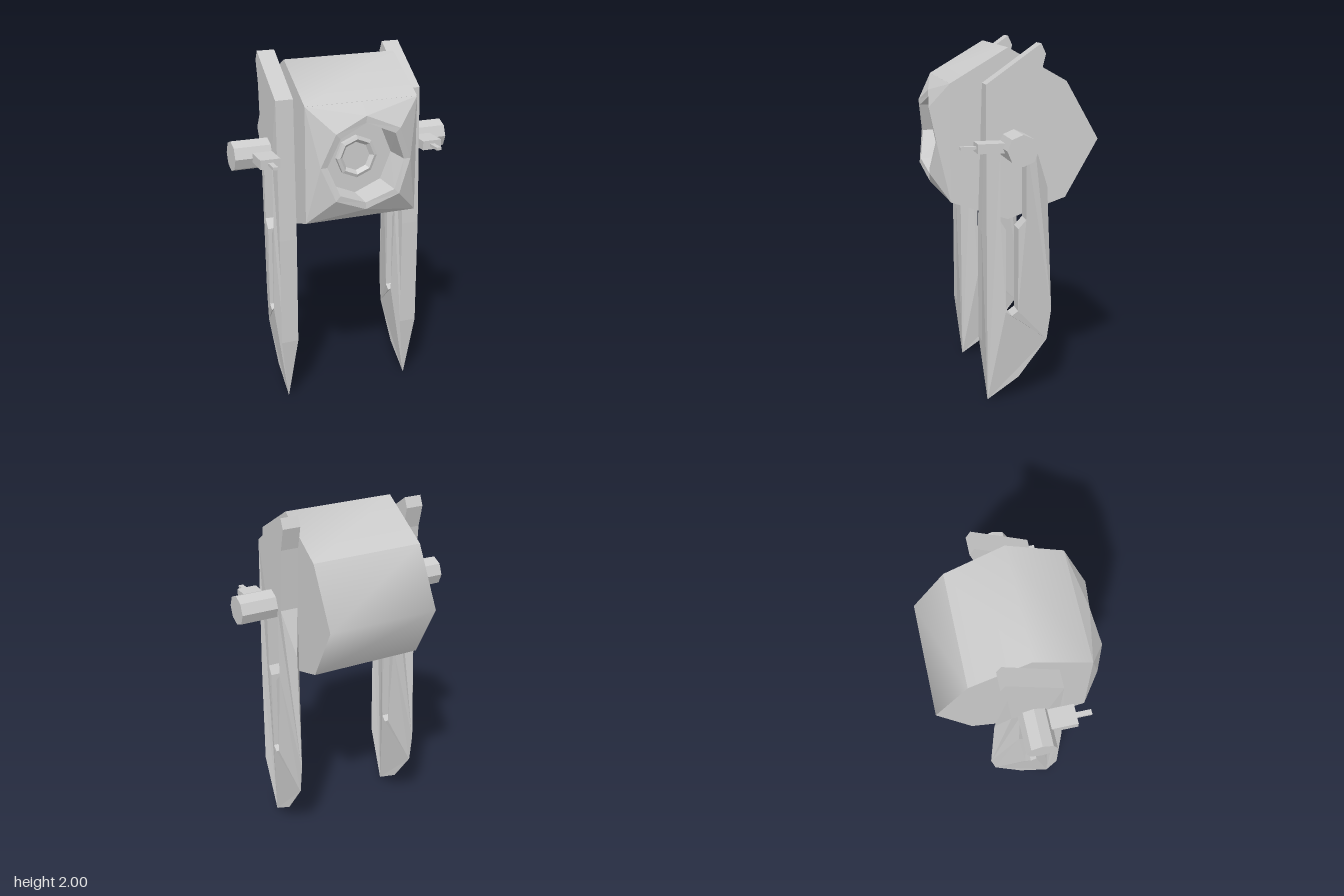
import * as THREE from 'three';

const grey = new THREE.MeshStandardMaterial({ color: 0xcccccc, side: THREE.DoubleSide });
const faceted = new THREE.MeshStandardMaterial({ color: 0xcccccc, side: THREE.DoubleSide, flatShading: true });
const HALF = 0.322, MID_Y = 1.467, PIN_Z = 0.043;

function add(parent, name, geometry, material = faceted) {
  const mesh = new THREE.Mesh(geometry, material);
  mesh.name = name;
  parent.add(mesh);
  return mesh;
}

const toShape = (pts) => new THREE.Shape(pts.map(([z, y]) => new THREE.Vector2(z, y)));

function surface(positions, index) {
  const g = new THREE.BufferGeometry();
  g.setAttribute('position', new THREE.Float32BufferAttribute(positions, 3));
  g.setIndex(index);
  g.computeVertexNormals();
  return g;
}

// Strip of skin across the body width, along [z, y] points
function strip(pts) {
  const pos = [], idx = [];
  pts.forEach(([z, y], i) => {
    pos.push(HALF, y, z, -HALF, y, z);
    if (i) {
      const a = 2 * i - 2;
      idx.push(a, a + 2, a + 1, a + 2, a + 3, a + 1);
    }
  });
  return surface(pos, idx);
}

function createBody() {
  const body = new THREE.Group();
  body.name = 'body';
  // [z, y] side profile from the front top edge, over the back, to the front bottom edge
  const p = [[0.367, 1.79], [0.05, 1.975], [-0.278, 1.79], [-0.462, MID_Y],
    [-0.278, 1.145], [0.05, 1.035], [0.367, 1.145]];
  ['bodyTop', 'bodyBack', 'bodyBottom'].forEach((name, i) =>
    add(body, name, strip(p.slice(2 * i, 2 * i + 3)), grey));
  for (const x of [-HALF, HALF]) {
    const cap = new THREE.ShapeGeometry(toShape(p)).rotateY(-Math.PI / 2).translate(x, 0, 0);
    add(body, 'bodySide', cap);
  }

  // Front: eight-point loops from the rectangular edge to the scalloped rim,
  // into the round recess and over the nozzle: [radius, z, scallop]
  const rings = [[0.26, 0.432, 0.028], [0.222, 0.43, 0.026], [0.212, 0.28, 0],
    [0.118, 0.28, 0], [0.118, 0.305, 0], [0.1, 0.312, 0], [0.08, 0.29, 0], [0, 0.29, 0]];
  const pos = [], idx = [];
  for (let i = 0; i < 8; i++) {
    const a = i * Math.PI / 4;
    pos.push(Math.round(Math.cos(a)) * HALF, MID_Y + Math.round(Math.sin(a)) * 0.3225, 0.367);
  }
  rings.forEach(([r, z, scallop], k) => {
    for (let i = 0; i < 8; i++) {
      const a = i * Math.PI / 4, j = (i + 1) % 8, o = k * 8;
      pos.push(Math.cos(a) * r, MID_Y + Math.sin(a) * r, z + (i % 2) * scallop);
      // split each quad from the odd (corner) point
      if (i % 2) idx.push(o + i, o + j, o + 8 + j, o + i, o + 8 + j, o + 8 + i);
      else idx.push(o + i, o + j, o + 8 + i, o + j, o + 8 + j, o + 8 + i);
    }
  });
  add(body, 'frontRecess', surface(pos, idx));
  return body;
}

// Slotted blade, thinned to an edge along its lower back and tip
function bladeGeometry() {
  const shape = toShape([[0.18, 0], [0, 0.12], [-0.165, 0.335], [-0.19, 0.51], [-0.16, 1.22],
    [-0.075, 1.465], [-0.1, 1.82], [-0.132, 1.945], [-0.106, 2], [0.193, 1.79], [0.22, 1], [0.22, 0.37]]);
  shape.holes.push(toShape([[0.115, 1.46], [0.115, 1.05], [0.085, 1], [0.085, 0.53], [0.05, 0.505],
    [0.015, 0.53], [0.015, 1], [-0.03, 1.05], [-0.03, 1.46]]));
  const g = new THREE.ExtrudeGeometry(shape, { depth: 0.1, bevelEnabled: false })
    .translate(0, 0, -0.05).rotateY(-Math.PI / 2);
  const v = g.attributes.position;
  for (let i = 0; i < v.count; i++) {
    const y = v.getY(i), z = v.getZ(i);
    if (y < 0.2 || (z < -0.1 && y < 1.3)) v.setX(i, v.getX(i) * 0.03);
  }
  g.computeVertexNormals();
  return g;
}

export function createModel() {
  const model = new THREE.Group();
  model.name = 'model';
  model.add(createBody());
  const blade = bladeGeometry();
  for (const side of [-1, 1]) {
    const leg = new THREE.Group();
    leg.name = side > 0 ? 'leftLeg' : 'rightLeg';
    add(leg, 'blade', blade).position.x = side * 0.373;
    // Octagonal pivot pin with a small block and rod in front
    const pin = add(leg, 'pivotPin', new THREE.CylinderGeometry(0.084, 0.084, 0.31, 8).rotateZ(Math.PI / 2));
    pin.position.set(side * 0.477, MID_Y, PIN_Z);
    const block = add(leg, 'sideBlock', new THREE.BoxGeometry(0.112, 0.052, 0.15));
    block.position.set(side * 0.478, 1.468, 0.186);
    const rod = add(leg, 'sideRod', new THREE.BoxGeometry(0.028, 0.016, 0.09));
    rod.position.set(side * 0.478, 1.468, 0.301);
    model.add(leg);
  }
  return model;
}
